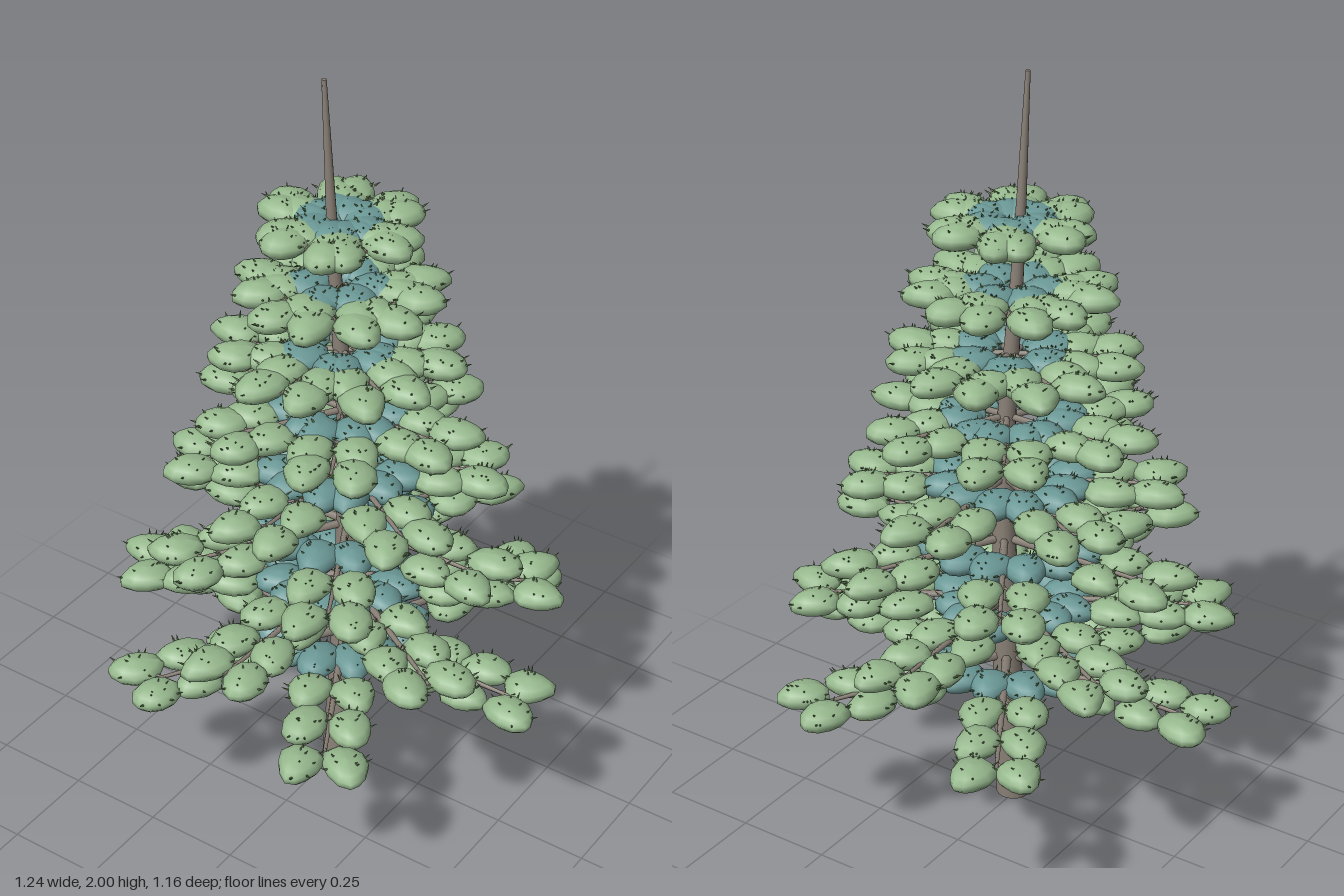
import * as THREE from 'three';
import { mergeGeometries } from 'three/addons/utils/BufferGeometryUtils.js';

const material = (name, color) => {
  const m = new THREE.MeshStandardMaterial({ color });
  m.name = name;
  return m;
};

// small seeded generator for natural variation
let seed = 7;
const rand = (a, b) => {
  seed = (seed * 16807) % 2147483647;
  return a + (b - a) * (seed / 2147483647);
};

// gently bowed line of the trunk, evenly spaced in height
const trunkLine = new THREE.CatmullRomCurve3([
  [0.01, 0, 0.02], [0.02, 0.5, 0.003], [0.022, 1, 0], [-0.008, 1.5, 0.01], [-0.03, 2, 0.02],
].map((p) => new THREE.Vector3(...p)));

function trunkGeometry() {
  const g = new THREE.CylinderGeometry(0.006, 0.045, 2, 14, 20).translate(0, 1, 0);
  const pos = g.attributes.position;
  for (let i = 0; i < pos.count; i++) {
    const c = trunkLine.getPoint(pos.getY(i) / 2);
    pos.setXYZ(i, pos.getX(i) + c.x, pos.getY(i), pos.getZ(i) + c.z);
  }
  g.computeVertexNormals();
  return g;
}

// tapered stick between two points
function stick(a, b, r0, r1, sides = 6) {
  const d = b.clone().sub(a);
  const g = new THREE.CylinderGeometry(r1, r0, d.length(), sides);
  const q = new THREE.Quaternion().setFromUnitVectors(new THREE.Vector3(0, 1, 0), d.clone().normalize());
  return g.applyQuaternion(q).translate((a.x + b.x) / 2, (a.y + b.y) / 2, (a.z + b.z) / 2);
}

// flattened pebble of foliage, tapering along its own +x
function puffGeometry() {
  const g = new THREE.SphereGeometry(1, 11, 7);
  const pos = g.attributes.position;
  const wobble = rand(0, 6), stretch = rand(0.95, 1.08);
  for (let i = 0; i < pos.count; i++) {
    const x = pos.getX(i), y = pos.getY(i), z = pos.getZ(i);
    const k = 1 + 0.06 * Math.sin(3 * Math.atan2(z, x) + wobble) * (1 - y * y);
    pos.setXYZ(i, x * 0.069 * k * stretch, y * 0.031, z * 0.055 * k * (1 - 0.22 * x));
  }
  g.computeVertexNormals();
  return g;
}

// slim needles standing out of a puff: a few on the crown, a few round the rim
function needleGeometries() {
  const list = [];
  for (let i = 0; i < 9; i++) {
    const a = rand(0, Math.PI * 2);
    const rim = i < 4;
    const r = rim ? 0.92 : rand(0.2, 0.75);
    const h = Math.sqrt(1 - r * r) * 0.031;
    const base = new THREE.Vector3(Math.cos(a) * r * 0.066, h - 0.003, Math.sin(a) * r * 0.054);
    const lean = rim ? 0.016 : 0.008;
    const tip = base.clone().add(new THREE.Vector3(Math.cos(a) * lean, rim ? 0.008 : 0.009, Math.sin(a) * lean));
    list.push(stick(base, tip, 0.0032, 0.0004, 4));
  }
  return list;
}

export function createModel() {
  const bark = material('bark', 0x8a8177);
  const leaf = material('outer foliage', 0x97b98e);
  const inner = material('inner foliage', 0x6a9896);
  const needleGreen = material('needles', 0x5f7d4c);

  const tree = new THREE.Group();
  tree.name = 'tree';
  const add = (parent, name, geometries, mat) => {
    const mesh = new THREE.Mesh(mergeGeometries(geometries), mat);
    mesh.name = name;
    parent.add(mesh);
  };
  add(tree, 'trunk', [trunkGeometry()], bark);

  // radius of the outermost puffs in each tier, bottom to top
  const tierRadii = [0.548, 0.5, 0.42, 0.365, 0.3, 0.245, 0.19, 0.14];
  tierRadii.forEach((radius, tier) => {
    const y = 0.43 + tier * 0.1705;
    const group = new THREE.Group();
    group.name = `tier${tier + 1}`;
    tree.add(group);
    const branches = [], outerPuffs = [], innerPuffs = [], needles = [];
    const start = trunkLine.getPoint(y / 2).setY(y);
    const stations = tier < 2 ? [1, 0.76, 0.52, 0.28] : [1, 0.7, 0.4];

    for (let b = 0; b < 6; b++) {
      // whorls alternate by half a step
      const angle = (b + (tier % 2) / 2) * Math.PI / 3;
      const at = (r, side) => new THREE.Vector3(
        Math.cos(angle) * r - Math.sin(angle) * side, y, Math.sin(angle) * r + Math.cos(angle) * side);
      branches.push(stick(start, at(radius, 0), 0.013 - tier * 0.001, 0.004));

      stations.forEach((f, s) => {
        const innermost = s === stations.length - 1;
        for (const side of [-1, 1]) {
          const r = radius * f + rand(-0.01, 0.01);
          const spread = side * (innermost ? 0.045 : 0.058);
          const p = at(r, spread);
          branches.push(stick(at(Math.max(r - 0.05, 0.01), 0), p, 0.004, 0.003, 5));
          const turn = -angle - side * rand(0.1, 0.45);
          const place = (g) => g.rotateY(turn).translate(p.x, p.y, p.z);
          (innermost ? innerPuffs : outerPuffs).push(place(puffGeometry()));
          needles.push(...needleGeometries().map(place));
        }
      });
    }
    add(group, 'branches', branches, bark);
    add(group, 'outerFoliage', outerPuffs, leaf);
    add(group, 'innerFoliage', innerPuffs, inner);
    add(group, 'needles', needles, needleGreen);
  });
  return tree;
}
